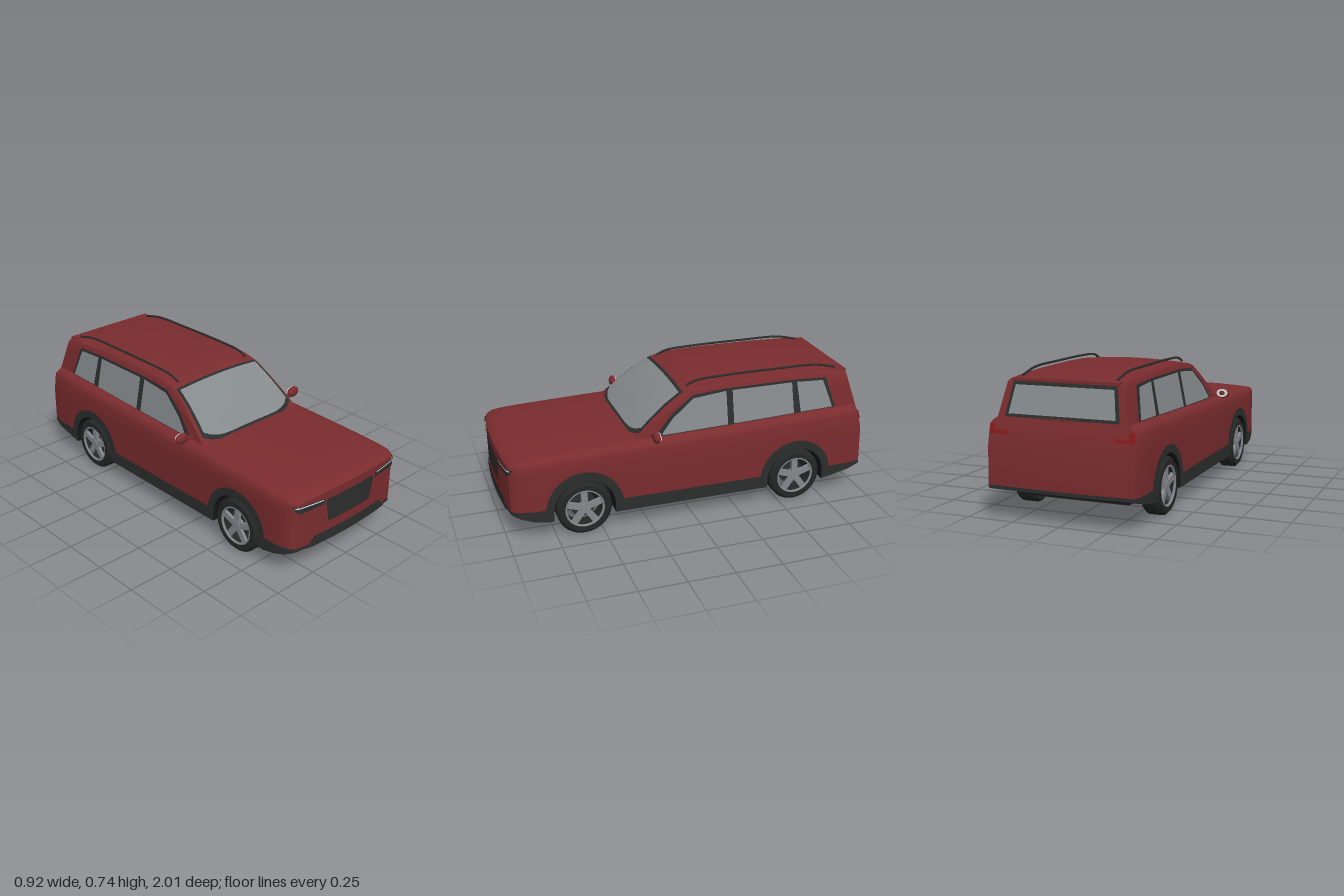
import * as THREE from 'three';
import { toCreasedNormals } from 'three/addons/utils/BufferGeometryUtils.js';

const mat = (name, color, side = THREE.FrontSide) => {
  const m = new THREE.MeshStandardMaterial({ color, side });
  m.name = name;
  return m;
};
const { lerp, clamp } = THREE.MathUtils;

// Linear lookup of column k in a table whose first column descends
function look(table, z, k = 1) {
  for (let i = 1; i < table.length; i++) {
    const a = table[i - 1], b = table[i];
    if (z >= b[0]) return lerp(a[k], b[k], clamp((z - a[0]) / (b[0] - a[0]), 0, 1));
  }
  return table[table.length - 1][k];
}

// Surface from a function of two integer steps; the normal is du x dv
function grid(nu, nv, fn, crease = 0.6) {
  const pos = [], idx = [];
  for (let i = 0; i <= nu; i++) for (let j = 0; j <= nv; j++) pos.push(...fn(i, j));
  for (let i = 0; i < nu; i++) for (let j = 0; j < nv; j++) {
    const a = i * (nv + 1) + j, b = a + nv + 1;
    idx.push(a, b, b + 1, a, b + 1, a + 1);
  }
  const g = new THREE.BufferGeometry();
  g.setAttribute('position', new THREE.Float32BufferAttribute(pos, 3));
  g.setIndex(idx);
  g.computeVertexNormals();
  return toCreasedNormals(g, crease);
}

// Thin panel between a lower and an upper polyline, laid on a surface by map
function panel(low, high, map, sub = 4) {
  const n = (low.length - 1) * sub;
  return grid(n, 6, (i, j) => {
    const k = Math.min(Math.floor(i / sub), low.length - 2), t = i / sub - k;
    const at = (p, c) => lerp(p[k][c], p[k + 1][c], t);
    return map(lerp(at(low, 0), at(high, 0), j / 6), lerp(at(low, 1), at(high, 1), j / 6));
  });
}

// Lower body: z, half width, bottom, top
const BODY = [
  [1, 0.35, 0.155, 0.42], [0.985, 0.37, 0.148, 0.432], [0.95, 0.387, 0.135, 0.442],
  [0.88, 0.397, 0.115, 0.45], [0.8, 0.4, 0.102, 0.455], [0.6, 0.4, 0.1, 0.462],
  [0.4, 0.4, 0.1, 0.468], [0.25, 0.4, 0.1, 0.472], [-0.1, 0.4, 0.1, 0.48],
  [-0.75, 0.4, 0.1, 0.5], [-0.93, 0.397, 0.135, 0.502], [-1, 0.385, 0.155, 0.502],
];
// Roof and windscreen centre line: z, height
const ROOF = [
  [0.34, 0.462], [0.3, 0.49], [0.22, 0.562], [0.13, 0.632], [0.04, 0.688], [-0.02, 0.706],
  [-0.1, 0.718], [-0.3, 0.722], [-0.6, 0.719], [-0.8, 0.711], [-0.965, 0.698],
];
const WHEELS = [0.6, -0.59], AXLE = 0.147;

const arch = (z, r) => Math.max(...WHEELS.map((c) =>
  Math.abs(z - c) < r ? AXLE + Math.sqrt(r * r - (z - c) ** 2) : 0));
const low = (z) => Math.max(look(BODY, z, 2), arch(z, 0.165));
const trimTop = (z) => Math.max(0.172, arch(z, 0.208));

// Bows the nose and tail in plan and leans the tail forward
function warp(x, y, z) {
  const f = clamp((z - 0.7) / 0.3, 0, 1) ** 2, r = clamp((-z - 0.85) / 0.15, 0, 1), q = (x / 0.4) ** 2;
  return [x, y, z - f * 0.03 * q + r * (0.035 * clamp((y - 0.3) / 0.2, 0, 1) ** 2 + 0.012 * q)];
}

// Half section of the painted body, from trim to centre line
function section(z) {
  const w = look(BODY, z, 1), t = look(BODY, z, 3), k = z > 0.85 ? lerp(1, 0.4, (z - 0.85) / 0.15) : 1;
  const p = [[w, trimTop(z)], [w, 0.365], [w - 0.002 * k, t - 0.04 * k], [w - 0.01 * k, t - 0.02 * k],
    [w - 0.026 * k, t - 0.006 * k], [w - 0.05 * k, t]];
  const e = w - 0.05 * k;
  for (const s of [0.75, 0.5, 0.25, 0]) p.push([e * s, t + 0.012 * (1 - s * s)]);
  return p;
}

const cabinX = (y) => 0.345 - (y - 0.48) * 0.2;
const roofY = (x, z) => {
  const r = look(ROOF, z);
  return r - 0.016 * (x / cabinX(r)) ** 2;
};
const cabinWarp = (x, y, z) => [x, y, z + clamp((-z - 0.8) / 0.165, 0, 1) * (y - 0.5) * 0.28];

export function createModel() {
  const car = new THREE.Group();
  car.name = 'car';
  const paint = mat('red paint', 0x7a2c2e);
  const trim = mat('dark trim', 0x2c2d2d, THREE.DoubleSide);
  const black = mat('underbody black', 0x171717);
  const rubber = mat('tyre rubber', 0x252626);
  const glass = mat('grey glass', 0x858a8d, THREE.DoubleSide);
  const metal = mat('wheel metal', 0x85878b);
  const lamp = mat('lamp white', 0xdde2e4, THREE.DoubleSide);
  const tail = mat('tail lamp red', 0x861a1c, THREE.DoubleSide);
  const add = (name, geo, m, parent = car) => {
    const mesh = new THREE.Mesh(geo, m);
    mesh.name = name;
    parent.add(mesh);
    return mesh;
  };

  // Stations along the body, with extra ones at the arch edges
  const zs = BODY.map((b) => b[0]);
  for (const c of WHEELS) {
    for (let i = -16; i <= 16; i++) zs.push(c + 0.208 * Math.sin((i / 32) * Math.PI));
    for (const s of [-1, 1]) zs.push(c + s * 0.1649, c + s * 0.1651);
  }
  zs.sort((a, b) => b - a);
  const n = zs.length - 1;

  // Painted shell, dark sill and arch trim, floor
  const rings = zs.map((z) => {
    const h = section(z);
    return [...h, ...h.slice(0, -1).reverse().map(([x, y]) => [-x, y])];
  });
  add('bodyShell', grid(n, rings[0].length - 1, (i, j) => warp(...rings[i][j], zs[i])), paint);
  for (const s of [1, -1]) add('sillAndArchTrim', grid(n, 1, (i, j) => {
    const up = s > 0 ? j : 1 - j, z = zs[i];
    return warp(s * look(BODY, z), up ? trimTop(z) : low(z), z);
  }), trim);
  add('floor', grid(n, 12, (i, j) => warp(look(BODY, zs[i]) * (j / 6 - 1), low(zs[i]), zs[i])), black);
  const tub = add('underbody', new THREE.BoxGeometry(0.58, 0.3, 1.66), black);
  tub.position.set(0, 0.245, 0);

  // Nose and tail faces
  for (const [z, s] of [[1, 1], [-1, -1]]) {
    const h = section(z), w = look(BODY, z);
    add(s > 0 ? 'nose' : 'tailgate', grid(12, h.length - 1,
      (i, j) => warp(s * h[j][0] * (i / 6 - 1), h[j][1], z)), paint);
    add('bumperTrim', grid(12, 1,
      (i, j) => warp(s * w * (i / 6 - 1), j ? trimTop(z) : low(z), z)), trim);
  }

  // Cabin sides, windscreen surround and roof in one shell
  const cz = [];
  for (let i = 0; i <= 60; i++) cz.push(lerp(0.34, -0.965, i / 60));
  const cabinRing = (z) => {
    const e = look(ROOF, z) - 0.016, y0 = Math.min(0.445, e - 0.005), half = [];
    for (const t of [0, 0.25, 0.5, 0.75, 0.94]) half.push([cabinX(lerp(y0, e, t)), lerp(y0, e, t)]);
    for (const t of [0.98, 0.75, 0.5, 0.25, 0]) half.push([cabinX(e) * t, roofY(cabinX(e) * t, z)]);
    return [...half, ...half.slice(0, -1).reverse().map(([x, y]) => [-x, y])];
  };
  const cr = cz.map(cabinRing);
  add('cabin', grid(60, cr[0].length - 1, (i, j) => cabinWarp(...cr[i][j], cz[i])), paint);
  const back = cr[60].slice(0, 10);
  add('cabinRear', grid(8, 9, (i, j) => cabinWarp(back[j][0] * (1 - i / 4), back[j][1], -0.965)), paint);
  const spoiler = add('roofSpoiler', new THREE.BoxGeometry(0.56, 0.014, 0.05), paint);
  spoiler.position.set(0, 0.686, -0.9);

  // Windscreen and its dark border
  const screen = (inset, z0, z1, off) => grid(16, 12, (i, j) => {
    const s = i / 8 - 1, z = lerp(z0 - 0.045 * Math.abs(s) ** 5, z1, j / 12);
    const x = s * (cabinX(look(ROOF, z)) - inset);
    return [x, roofY(x, z) + off, z + off * 0.6];
  });
  add('windscreenBorder', screen(0.012, 0.32, 0.028, 0.003), trim);
  add('windscreen', screen(0.026, 0.305, 0.045, 0.007), glass);

  // Rear window
  const rearMap = (off) => (x, y) => {
    const p = cabinWarp(x, y, -0.965);
    return [x, y, p[2] - off];
  };
  add('rearWindowBorder', panel([[-0.3, 0.51], [0.3, 0.51]], [[-0.272, 0.678], [0.272, 0.678]], rearMap(0.003)), trim);
  add('rearWindow', panel([[-0.28, 0.525], [0.28, 0.525]], [[-0.258, 0.662], [0.258, 0.662]], rearMap(0.007)), glass);

  // Nose details follow the bowed front and wrap round its corners
  const NOSE = [[0.4, 0.88], [0.387, 0.95], [0.37, 0.985], [0.35, 1], [0, 1]];
  const noseMap = (off) => (x, y) => {
    const p = warp(x, y, look(NOSE, Math.abs(x)));
    return [x * (1 + off * 0.6), y, p[2] + off];
  };
  add('grille', panel([[-0.155, 0.262], [-0.145, 0.26], [0.145, 0.26], [0.155, 0.262]],
    [[-0.178, 0.38], [-0.165, 0.39], [0.165, 0.39], [0.178, 0.38]], noseMap(0.005)), trim);
  add('lowerIntake', panel([[-0.3, 0.156], [-0.25, 0.152], [0.25, 0.152], [0.3, 0.156]],
    [[-0.27, 0.186], [-0.25, 0.21], [0.25, 0.21], [0.27, 0.186]], noseMap(0.005)), trim);

  for (const s of [1, -1]) {
    const flip = (pts) => pts.map(([x, y]) => [s * x, y]);
    // Lamps
    add('headlight', panel(flip([[0.19, 0.372], [0.34, 0.37], [0.366, 0.385]]),
      flip([[0.19, 0.4], [0.34, 0.411], [0.376, 0.411]]), noseMap(0.006)), trim);
    add('lightStrip', panel(flip([[0.2, 0.394], [0.34, 0.402], [0.368, 0.401]]),
      flip([[0.2, 0.4], [0.34, 0.409], [0.37, 0.408]]), noseMap(0.009)), lamp);
    add('tailLight', panel(flip([[0.28, 0.425], [0.38, 0.425]]), flip([[0.28, 0.475], [0.38, 0.475]]),
      (x, y) => { const p = warp(x, y, -1); return [x, y, p[2] - 0.004]; }), tail);

    // Side windows on a dark band
    const sideMap = (off) => (z, y) => [s * (cabinX(y) + off), y, z];
    add('windowBand', panel([[0.2, 0.474], [0.1, 0.474], [-0.02, 0.477], [-0.2, 0.48], [-0.6, 0.492], [-0.84, 0.5]],
      [[0.195, 0.484], [0.1, 0.585], [-0.02, 0.666], [-0.2, 0.678], [-0.6, 0.678], [-0.79, 0.67]], sideMap(0.003)), trim);
    add('frontSideWindow', panel([[0.165, 0.48], [0.1, 0.481], [-0.02, 0.484], [-0.205, 0.488]],
      [[0.16, 0.492], [0.1, 0.56], [-0.02, 0.65], [-0.205, 0.667]], sideMap(0.007)), glass);
    add('rearSideWindow', panel([[-0.24, 0.489], [-0.59, 0.5]], [[-0.24, 0.667], [-0.585, 0.667]], sideMap(0.007)), glass);
    add('quarterWindow', panel([[-0.63, 0.502], [-0.82, 0.507]], [[-0.615, 0.666], [-0.77, 0.658]], sideMap(0.007)), glass);

    // Roof rail
    const rail = new THREE.CatmullRomCurve3([[0.7, 0], [0.722, -0.06], [0.73, -0.2], [0.731, -0.5], [0.726, -0.75], [0.7, -0.87]]
      .map(([y, z]) => new THREE.Vector3(s * 0.25, y, z)));
    add('roofRail', new THREE.TubeGeometry(rail, 40, 0.006, 6), trim);

    // Door mirror
    const mirror = add('mirrorHousing', new THREE.SphereGeometry(1, 20, 14).scale(0.04, 0.03, 0.02), paint);
    mirror.position.set(s * 0.418, 0.504, 0.217);
    const arm = add('mirrorArm', new THREE.BoxGeometry(0.07, 0.014, 0.016), paint);
    arm.position.set(s * 0.37, 0.488, 0.217);
    const face = add('mirrorGlass', new THREE.CylinderGeometry(1, 1, 0.004, 20).rotateX(Math.PI / 2).scale(0.032, 0.023, 1), lamp);
    face.position.set(s * 0.418, 0.504, 0.201);

    // Wheels, built along x with the outer side at +x
    for (const z of WHEELS) {
      const wheel = new THREE.Group();
      wheel.name = 'wheel';
      const tyre = [[0.105, -0.05], [0.132, -0.05], [0.147, -0.035], [0.147, 0.035], [0.132, 0.05], [0.105, 0.05], [0.105, -0.05]];
      add('tyre', toCreasedNormals(new THREE.LatheGeometry(tyre.map((p) => new THREE.Vector2(...p)), 40)
        .rotateZ(-Math.PI / 2), 0.5), rubber, wheel);
      add('rim', new THREE.TorusGeometry(0.101, 0.007, 8, 40).rotateY(Math.PI / 2), metal, wheel).position.x = 0.044;
      add('hub', new THREE.CylinderGeometry(0.026, 0.03, 0.03, 20).rotateZ(-Math.PI / 2), metal, wheel).position.x = 0.03;
      add('brakeDisc', new THREE.CylinderGeometry(0.068, 0.068, 0.01, 28).rotateZ(-Math.PI / 2), trim, wheel).position.x = -0.01;
      for (let k = 0; k < 5; k++) {
        const spoke = new THREE.BoxGeometry(0.016, 0.086, 0.034).translate(0.034, 0.058, 0);
        add('spoke', spoke, metal, wheel).rotation.x = (k * 2 * Math.PI) / 5;
      }
      wheel.position.set(s * 0.35, AXLE, z);
      if (s < 0) wheel.rotation.y = Math.PI;
      car.add(wheel);
    }
  }
  return car;
}
